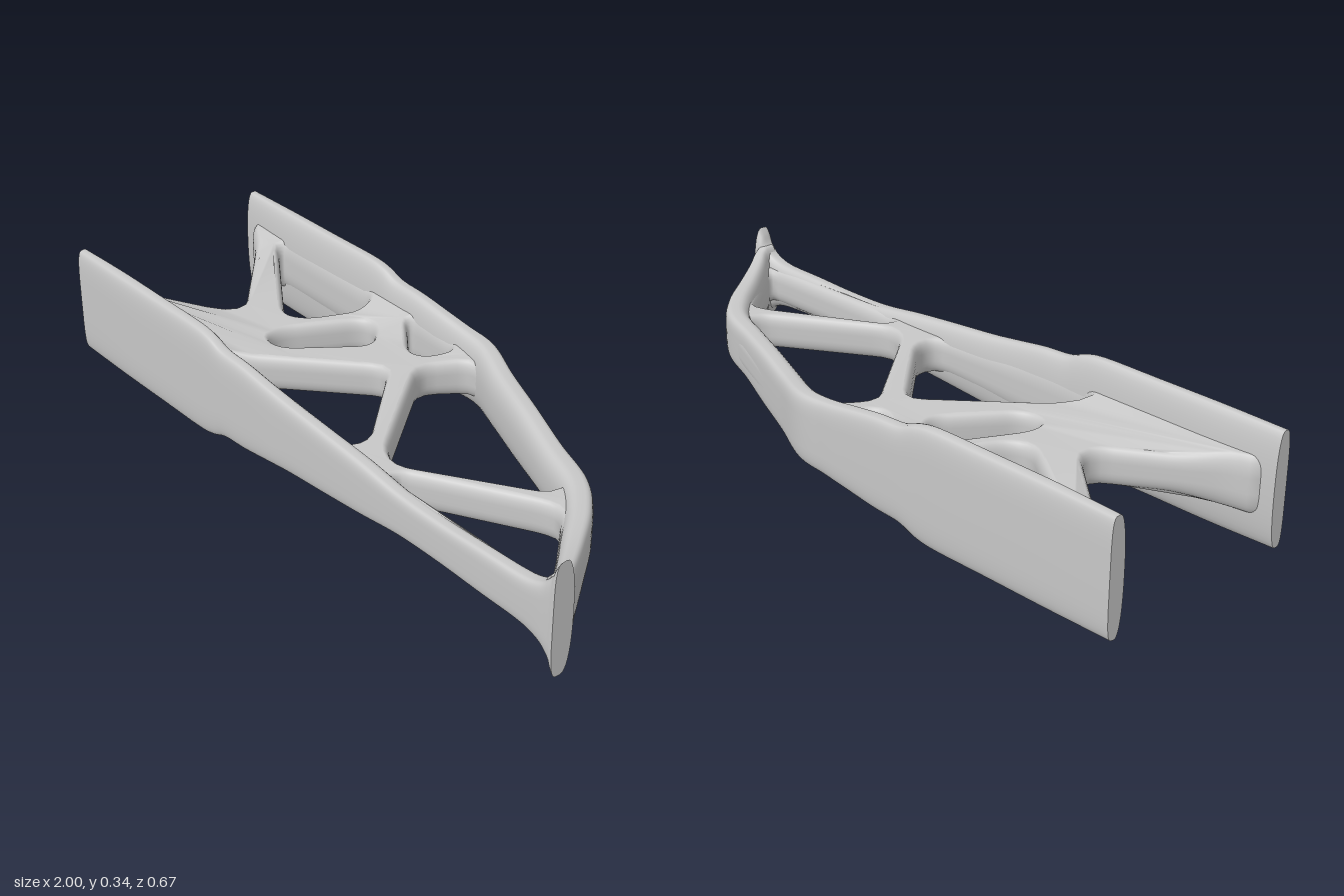
import * as THREE from 'three';
import { mergeVertices } from 'three/addons/utils/BufferGeometryUtils.js';

const MID = 0.168; // height of the horizontal symmetry plane

// Sweeps an upright section along a plan path; rows are [x, z, width, halfHeight].
// The outer side is nearly flat, the inner side (sign of z given by inner) bulges.
function sweepChord(rows, inner, sides = 36, perSpan = 8) {
  const path = new THREE.SplineCurve(rows.map(r => new THREE.Vector2(r[0], r[1])));
  const size = new THREE.SplineCurve(rows.map(r => new THREE.Vector2(r[2], r[3])));
  const steps = (rows.length - 1) * perSpan;
  const pos = [], index = [];
  const power = (v, e) => Math.sign(v) * Math.pow(Math.abs(v), e);
  const ring = t => {
    const p = path.getPoint(t), d = path.getTangent(t), s = size.getPoint(t);
    for (let j = 0; j < sides; j++) {
      const a = (j / sides) * Math.PI * 2, c = Math.cos(a);
      const e = c * inner > 0 ? 0.85 : 0.45;
      const u = power(c, e) * s.x / 2;
      const v = power(Math.sin(a), e) * Math.min(s.y, MID);
      pos.push(p.x - d.y * u, MID + v, p.y + d.x * u);
    }
  };
  for (let i = 0; i <= steps; i++) ring(i / steps);
  for (let i = 0; i < steps; i++) {
    for (let j = 0; j < sides; j++) {
      const k = (j + 1) % sides, a = i * sides, b = a + sides;
      index.push(a + j, b + j, a + k, a + k, b + j, b + k);
    }
  }
  // flat end caps
  for (const t of [0, 1]) {
    const base = pos.length / 3, p = path.getPoint(t);
    ring(t);
    pos.push(p.x, MID, p.y);
    for (let j = 0; j < sides; j++) {
      const k = (j + 1) % sides;
      index.push(base + sides, base + (t ? k : j), base + (t ? j : k));
    }
  }
  const g = new THREE.BufferGeometry();
  g.setAttribute('position', new THREE.Float32BufferAttribute(pos, 3));
  g.setIndex(index);
  g.computeVertexNormals();
  return g;
}

// Evenly sampled polygon with rounded corners.
function roundedLoop(points, radius, count) {
  const v = points.map(p => new THREE.Vector2(p[0], p[1]));
  const path = new THREE.Path();
  v.forEach((c, i) => {
    const toward = q => c.clone().lerp(q, Math.min(0.48, radius / c.distanceTo(q)));
    const a = toward(v[(i + v.length - 1) % v.length]);
    const b = toward(v[(i + 1) % v.length]);
    if (i) path.lineTo(a.x, a.y); else path.moveTo(a.x, a.y);
    path.quadraticCurveTo(c.x, c.y, b.x, b.y);
  });
  path.closePath();
  return path.getSpacedPoints(count).slice(0, -1);
}

// Web of struts: one plan outline with the openings cut out and the edges rounded over.
function makeWeb() {
  const outline = [
    [-0.965, -0.325], [-0.965, -0.272], [-0.88, -0.225], [-0.6, 0.02], [-0.6, 0.07],
    [-0.88, 0.25], [-0.965, 0.272], [-0.965, 0.325],
    [0.965, 0.325], [0.965, 0.24], [0.79, 0], [0.72, -0.075], [0.1, -0.325],
  ];
  const openings = [
    [[-0.82, -0.27], [-0.37, -0.265], [-0.355, -0.215], [-0.42, -0.065], [-0.48, -0.035]],
    [[-0.3, -0.175], [-0.25, -0.185], [-0.18, -0.11], [-0.33, 0.09], [-0.4, 0.09], [-0.41, 0.03]],
    [[-0.21, -0.268], [0, -0.268], [-0.035, -0.185], [-0.085, -0.17]],
    [[-0.05, -0.06], [0.185, 0.2], [0.18, 0.27], [-0.42, 0.272]],
    [[0.08, -0.26], [0.66, -0.04], [0.66, 0.015], [0.33, 0.225], [0.26, 0.2], [0, -0.13]],
    [[0.745, 0.055], [0.925, 0.262], [0.9, 0.272], [0.37, 0.272], [0.36, 0.25], [0.7, 0.06]],
  ];
  const bevel = 0.019;
  const shape = new THREE.Shape(roundedLoop(outline, 0.035, 180));
  for (const o of openings) shape.holes.push(new THREE.Path(roundedLoop(o, 0.045, 60)));
  const g = new THREE.ExtrudeGeometry(shape, {
    depth: 0.03, bevelEnabled: true, bevelThickness: 0.038, bevelSize: bevel,
    bevelOffset: -bevel, bevelSegments: 6,
  });
  g.translate(0, 0, -0.015);
  g.rotateX(Math.PI / 2);
  // struts grow taller where they run into the chords
  const p = g.attributes.position;
  const smooth = THREE.MathUtils.smoothstep;
  for (let i = 0; i < p.count; i++) {
    const x = p.getX(i), z = Math.abs(p.getZ(i));
    const flare = 0.6 * smooth(z, 0.17, 0.31) * (1 - smooth(x, -0.3, 0.2));
    p.setY(i, MID + p.getY(i) * (1 + flare));
  }
  g.deleteAttribute('uv');
  g.deleteAttribute('normal');
  const merged = mergeVertices(g, 1e-4);
  merged.computeVertexNormals();
  return merged;
}

export function createModel() {
  const group = new THREE.Group();
  const grey = new THREE.MeshStandardMaterial({ color: 0xc8c8c8 });
  grey.name = 'plain grey';
  const add = (name, geometry) => {
    const mesh = new THREE.Mesh(geometry, grey);
    mesh.name = name;
    group.add(mesh);
  };

  // straight chord along the front, flaring into the end foot
  add('frontChord', sweepChord([
    [-1, 0.306, 0.05, 0.164], [-0.8, 0.304, 0.06, 0.167], [-0.6, 0.304, 0.06, 0.167],
    [-0.42, 0.304, 0.06, 0.167], [-0.35, 0.304, 0.06, 0.158], [-0.29, 0.304, 0.06, 0.138],
    [-0.2, 0.304, 0.06, 0.132], [-0.1, 0.304, 0.06, 0.119],
    [0, 0.303, 0.06, 0.107], [0.15, 0.303, 0.06, 0.094], [0.3, 0.302, 0.062, 0.08],
    [0.45, 0.304, 0.057, 0.062], [0.6, 0.306, 0.053, 0.059], [0.75, 0.306, 0.053, 0.064],
    [0.88, 0.304, 0.057, 0.068], [0.94, 0.303, 0.06, 0.083], [0.97, 0.301, 0.063, 0.11],
    [0.987, 0.299, 0.067, 0.142], [1, 0.299, 0.067, 0.165],
  ], -1));

  // back chord, bending forward down to the end foot
  add('backChord', sweepChord([
    [-1, -0.308, 0.05, 0.164], [-0.8, -0.304, 0.06, 0.167], [-0.6, -0.303, 0.062, 0.167],
    [-0.42, -0.303, 0.063, 0.167], [-0.35, -0.303, 0.063, 0.158], [-0.29, -0.303, 0.064, 0.138],
    [-0.2, -0.303, 0.064, 0.132], [-0.1, -0.303, 0.065, 0.119],
    [-0.01, -0.303, 0.066, 0.107], [0.09, -0.293, 0.075, 0.1], [0.22, -0.238, 0.075, 0.089],
    [0.38, -0.172, 0.074, 0.086], [0.54, -0.106, 0.074, 0.077], [0.68, -0.05, 0.078, 0.074],
    [0.775, 0.03, 0.076, 0.074], [0.86, 0.135, 0.068, 0.078], [0.925, 0.22, 0.06, 0.09],
    [0.959, 0.262, 0.054, 0.103], [0.97, 0.285, 0.05, 0.112], [0.972, 0.315, 0.048, 0.112],
  ], 1));

  add('strutWeb', makeWeb());
  return group;
}
